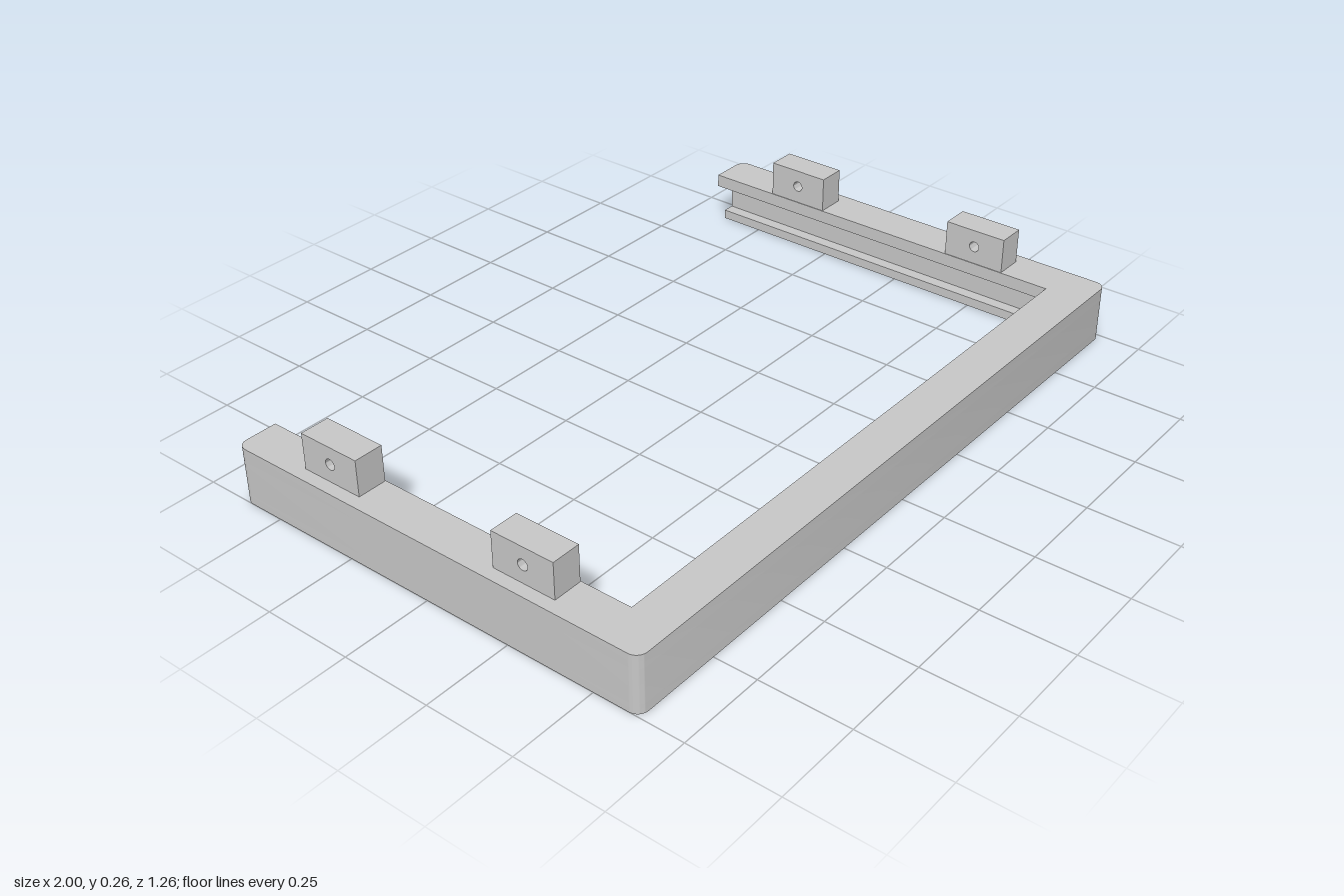
import * as THREE from 'three';
import { toCreasedNormals } from 'three/addons/utils/BufferGeometryUtils.js';

const HALF_X = 1, HALF_Z = 0.63, RADIUS = 0.03, HEIGHT = 0.161;

// U-shaped outline, open at the back, with rounded outer corners (shape y = -z)
function frameShape(width) {
  const s = new THREE.Shape();
  const ix = HALF_X - width, iy = -HALF_Z + width;
  const X = HALF_X, Y = HALF_Z, r = RADIUS;
  s.moveTo(-ix, Y);
  s.lineTo(-X + r, Y);
  s.absarc(-X + r, Y - r, r, Math.PI / 2, Math.PI, false);
  s.lineTo(-X, -Y + r);
  s.absarc(-X + r, -Y + r, r, Math.PI, Math.PI * 1.5, false);
  s.lineTo(X - r, -Y);
  s.absarc(X - r, -Y + r, r, -Math.PI / 2, 0, false);
  s.lineTo(X, Y - r);
  s.absarc(X - r, Y - r, r, 0, Math.PI / 2, false);
  s.lineTo(ix, Y);
  s.lineTo(ix, iy);
  s.lineTo(-ix, iy);
  s.closePath();
  return s;
}

// One horizontal layer of the channel between two heights
function frameLayer(name, width, y0, y1, material) {
  const geo = new THREE.ExtrudeGeometry(frameShape(width), {
    depth: y1 - y0, bevelEnabled: false, curveSegments: 8,
  });
  geo.rotateX(-Math.PI / 2);
  geo.translate(0, y0, 0);
  const mesh = new THREE.Mesh(toCreasedNormals(geo, 0.6), material);
  mesh.name = name;
  return mesh;
}

// Block with a centred pin hole running along x
function lugGeometry(length, height, thickness, holeY) {
  const s = new THREE.Shape();
  s.moveTo(-length / 2, 0);
  s.lineTo(length / 2, 0);
  s.lineTo(length / 2, height);
  s.lineTo(-length / 2, height);
  s.closePath();
  const hole = new THREE.Path();
  hole.absarc(0, holeY, 0.015, 0, Math.PI * 2, true);
  s.holes.push(hole);
  const geo = new THREE.ExtrudeGeometry(s, {
    depth: thickness, bevelEnabled: false, curveSegments: 16,
  });
  geo.translate(0, 0, -thickness / 2);
  geo.rotateY(Math.PI / 2);
  return toCreasedNormals(geo, 0.6);
}

export function createModel() {
  const group = new THREE.Group();
  group.name = 'channelFrame';
  const grey = new THREE.MeshStandardMaterial({ color: 0xc7c7c7 });
  grey.name = 'lightGrey';

  // C-section channel: narrow lower lip, thin outer wall, wide upper flange
  group.add(frameLayer('lowerLip', 0.085, 0, 0.027, grey));
  group.add(frameLayer('outerWall', 0.05, 0.027, 0.124, grey));
  group.add(frameLayer('upperFlange', 0.12, 0.124, HEIGHT, grey));

  // Two drilled mounting lugs on each arm
  const lug = lugGeometry(0.183, 0.101, 0.082, 0.051);
  for (const [side, x] of [['left', 0.923], ['right', -0.923]]) {
    for (const [place, z] of [['Front', 0.275], ['Rear', -0.333]]) {
      const mesh = new THREE.Mesh(lug, grey);
      mesh.name = `${side}${place}Lug`;
      mesh.position.set(x, HEIGHT, z);
      group.add(mesh);
    }
  }
  return group;
}
